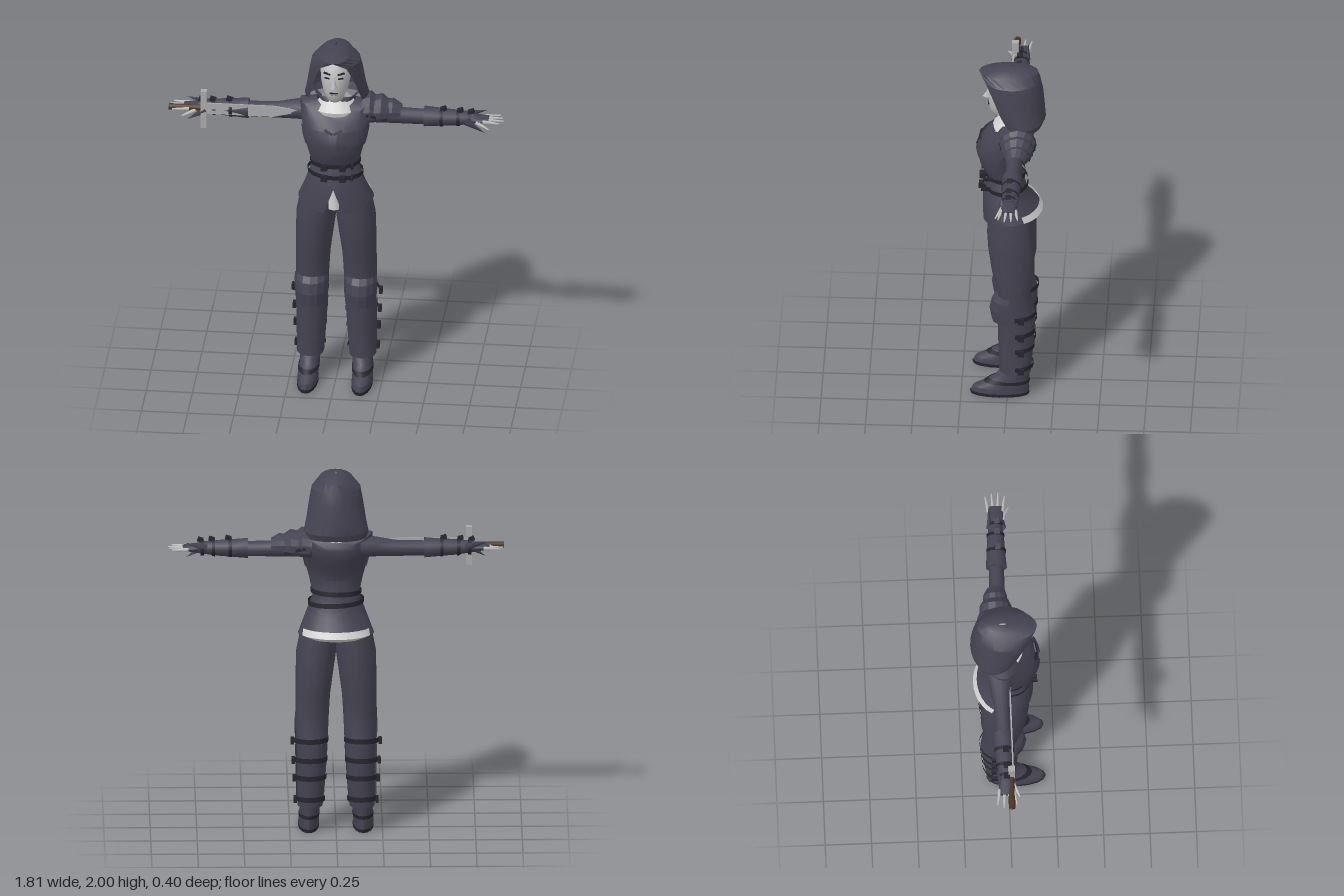
import * as THREE from 'three';
import { toCreasedNormals } from 'three/addons/utils/BufferGeometryUtils.js';

const mat = (name, color) => new THREE.MeshStandardMaterial({ name, color, side: THREE.DoubleSide });

// Skin of elliptical rings. Row: [height, c1, c2, r1, r2, opening].
// axis 'y': c1/r1 run on x, c2/r2 on z; axis 'x': c1/r1 run on z, c2/r2 on y.
function loft(rows, { n = 16, from = 0, to = Math.PI * 2, axis = 'y', cap = false, tweak, crease = 0.6 } = {}) {
  const pos = [], idx = [], w = n + 1;
  const put = (a, h, b) => (axis === 'y' ? pos.push(a, h, b) : pos.push(h, b, a));
  rows.forEach(([h, c1, c2, r1, r2, open], i) => {
    const s = open ?? from, e = open === undefined ? to : Math.PI * 2 - open;
    for (let j = 0; j <= n; j++) {
      const f = s + (e - s) * j / n;
      const a = c1 + r1 * Math.sin(f), b = c2 + r2 * Math.cos(f);
      put(a, tweak ? tweak(h, i, f, a, b) : h, b);
    }
  });
  for (let i = 0; i < rows.length - 1; i++) {
    for (let j = 0; j < n; j++) {
      const k = i * w + j;
      idx.push(k, k + 1, k + w, k + 1, k + w + 1, k + w);
    }
  }
  if (cap) {
    const last = rows.length - 1, c = rows.length * w;
    put(rows[0][1], rows[0][0], rows[0][2]);
    put(rows[last][1], rows[last][0], rows[last][2]);
    for (let j = 0; j < n; j++) idx.push(c, j + 1, j, c + 1, last * w + j, last * w + j + 1);
  }
  const g = new THREE.BufferGeometry();
  g.setAttribute('position', new THREE.Float32BufferAttribute(pos, 3));
  g.setIndex(idx);
  return toCreasedNormals(g, crease);
}

export function createModel() {
  const root = new THREE.Group();
  root.name = 'hoodedFigure';
  const cloth = mat('darkCloth', 0x454352), leather = mat('blackLeather', 0x26252e);
  const skin = mat('paleSkin', 0xbdbdbd), linen = mat('linen', 0xd2d2d0);
  const steel = mat('steel', 0xa9a9a9), wood = mat('wood', 0x4a3422);

  const add = (name, geo, m, p = [0, 0, 0], r = [0, 0, 0], s = [1, 1, 1]) => {
    const mesh = new THREE.Mesh(geo, m);
    mesh.name = name;
    mesh.position.set(...p);
    mesh.rotation.set(...r);
    mesh.scale.set(...s);
    root.add(mesh);
    return mesh;
  };
  const box = (x, y, z) => new THREE.BoxGeometry(x, y, z);

  // Tunic with a split front hem and a scooped neckline
  add('tunic', loft([
    [1.1, 0, -0.015, 0.205, 0.155], [1.2, 0, 0.02, 0.165, 0.12], [1.31, 0, 0.015, 0.125, 0.095],
    [1.4, 0, 0.045, 0.145, 0.11], [1.475, 0, 0.035, 0.165, 0.135], [1.54, 0, 0.01, 0.18, 0.14],
    [1.59, 0, -0.02, 0.197, 0.12], [1.605, 0, -0.03, 0.195, 0.105], [1.63, 0, -0.03, 0.105, 0.09],
  ], {
    n: 24,
    tweak: (h, i, f, x, z) => {
      const s2 = Math.sin(f) ** 2, ax = Math.abs(x);
      if (i === 7) return h + 0.065 * s2;
      if (i === 8) return h + 0.05 * s2;
      if (i > 0) return h;
      if (z < -0.015) return 1.1 + 0.02 * (1 - s2);
      return ax < 0.055 ? 1.2 - ax / 0.055 * 0.15 : 1.045 + (ax - 0.055) / 0.15 * 0.055;
    },
  }), cloth);
  // Bodice flap crossing the chest, two sides
  for (const s of [1, -1]) {
    add('chestFlap', loft([
      [1.45, 0, 0.038, 0.166, 0.132], [1.49, 0, 0.036, 0.176, 0.142], [1.55, 0, 0.008, 0.187, 0.146],
    ], { n: 6, from: s > 0 ? 0.12 : -1.5, to: s > 0 ? 1.5 : -0.12 }), cloth);
    add('chestLace', box(0.05, 0.014, 0.008), leather, [s * 0.025, 1.55, 0.152], [-0.4, 0, s * 0.5]);
  }
  // Linen showing at neck, front slit and back hem
  add('collar', loft([
    [1.58, 0, -0.03, 0.16, 0.1], [1.63, 0, -0.015, 0.125, 0.1], [1.685, 0, -0.03, 0.075, 0.07],
  ]), linen);
  add('shirtTail', loft([[1.07, 0, 0, 0.06, 0.122], [1.2, 0, 0, 0.06, 0.125]], { n: 4, from: -0.5, to: 0.5 }), linen);
  add('backHem', loft([
    [1.085, 0, -0.02, 0.17, 0.14], [1.105, 0, -0.025, 0.2, 0.16], [1.14, 0, -0.015, 0.194, 0.15],
  ], { n: 12, from: Math.PI - 1.15, to: Math.PI + 1.15 }), linen);

  // Belts and buckles
  for (const [y, tilt] of [[1.33, 0.03], [1.27, -0.04]]) {
    const grow = y < 1.3 ? 0.02 : 0.006;
    add('belt', loft([
      [y - 0.013, 0, 0.015, 0.131 + grow, 0.102 + grow], [y + 0.013, 0, 0.018, 0.131 + grow, 0.102 + grow],
    ], { n: 20, tweak: (h, i, f, x) => h + x * tilt }), leather);
    for (const x of [-0.05, 0.05]) add('buckle', box(0.035, 0.03, 0.03), leather, [x, y, 0.13 + grow * 0.7]);
    add('strapEnd', box(0.012, 0.018, 0.05), leather, [0.1, y, 0.1 + grow]);
  }

  // Hood, open at the face
  add('hood', loft([
    [1.655, 0, -0.075, 0.165, 0.11, 1.05], [1.69, 0, -0.07, 0.175, 0.13, 0.95], [1.75, 0, -0.05, 0.162, 0.145, 0.9],
    [1.85, 0, -0.03, 0.145, 0.157, 0.76], [1.92, 0, -0.015, 0.132, 0.158, 0.55],
    [1.965, 0, 0, 0.09, 0.16, 0], [1.99, 0, -0.02, 0.05, 0.095, 0], [2, 0, -0.025, 0.004, 0.02, 0],
  ], { n: 18, crease: 0.5 }), cloth);
  add('hoodCollar', loft([[1.67, 0, -0.035, 0.085, 0.085], [1.7, 0, -0.05, 0.12, 0.075]], { n: 10, from: -1.9, to: 1.9 }), cloth);

  // Head and face
  add('head', loft([
    [1.62, 0, -0.04, 0.05, 0.05], [1.69, 0, -0.025, 0.05, 0.055], [1.7, 0, 0.03, 0.038, 0.055], [1.72, 0, 0.03, 0.05, 0.069],
    [1.76, 0, 0.02, 0.067, 0.088], [1.82, 0, 0.01, 0.08, 0.1], [1.88, 0, 0, 0.083, 0.106],
    [1.93, 0, -0.015, 0.068, 0.085], [1.955, 0, -0.02, 0.03, 0.04],
  ], { n: 20, crease: 1.1 }), skin);
  add('nose', loft([
    [1.792, 0, 0.1, 0.014, 0.02], [1.802, 0, 0.1, 0.018, 0.041], [1.83, 0, 0.1, 0.011, 0.022], [1.865, 0, 0.095, 0.008, 0.012],
  ], { n: 8, cap: true }), skin);
  add('upperLip', box(0.044, 0.007, 0.008), leather, [0, 1.765, 0.108]);
  add('lowerLip', loft([[1.748, 0, 0.095, 0.02, 0.012], [1.757, 0, 0.095, 0.024, 0.02]], { n: 8, cap: true }), skin);
  for (const s of [1, -1]) {
    add('eye', box(0.028, 0.008, 0.006), leather, [s * 0.036, 1.85, 0.098], [0, s * 0.35, 0]);
    add('eyebrow', box(0.04, 0.009, 0.008), leather, [s * 0.038, 1.876, 0.095], [0, s * 0.38, s * 0.12]);
  }

  // Legs, boots and armour
  for (const s of [1, -1]) {
    const side = rows => rows.map(([y, x, ...rest]) => [y, s * x, ...rest]);
    add('trouserLeg', loft(side([
      [0.14, 0.14, -0.045, 0.068, 0.08], [0.3, 0.135, -0.05, 0.075, 0.088], [0.48, 0.13, -0.052, 0.082, 0.098],
      [0.53, 0.13, -0.045, 0.086, 0.1], [0.63, 0.13, -0.035, 0.09, 0.088], [0.76, 0.125, -0.03, 0.093, 0.115],
      [0.9, 0.115, -0.02, 0.102, 0.125], [1, 0.107, -0.015, 0.108, 0.127], [1.13, 0.09, -0.01, 0.1, 0.118],
    ]), { cap: true }), cloth);
    add('shinGuard', loft(side([
      [0.15, 0.142, -0.045, 0.074, 0.09], [0.3, 0.137, -0.045, 0.08, 0.095], [0.48, 0.133, -0.045, 0.088, 0.1],
    ]), { n: 8, from: -1.6, to: 1.6 }), cloth);
    add('kneePad', loft(side([
      [0.465, 0.133, -0.03, 0.085, 0.115], [0.54, 0.133, -0.03, 0.092, 0.128], [0.6, 0.133, -0.03, 0.093, 0.115], [0.63, 0.133, -0.035, 0.09, 0.09],
    ]), { n: 6, from: -1.35, to: 1.35, crease: 0.2 }), cloth);
    add('kneePoint', new THREE.ConeGeometry(0.03, 0.13, 4), cloth, [s * 0.2, 0.56, -0.04], [0, 0, s * -0.15], [0.8, 1, 1.3]);
    for (const y of [0.18, 0.3, 0.4, 0.51]) {
      const k = (y - 0.18) * 0.05;
      add('calfStrap', loft(side([
        [y - 0.014, 0.138, -0.05, 0.08 + k, 0.09 + k], [y + 0.014, 0.138, -0.05, 0.08 + k, 0.09 + k],
      ]), { n: 10, from: 1.5, to: Math.PI * 2 - 1.5, tweak: (h, i, f, x, z) => h - z * 0.08 }), leather);
      add('calfBuckle', box(0.018, 0.034, 0.035), leather, [s * (0.22 + k), y, -0.075]);
    }
    add('bootSole', loft(side([[0, 0.147, 0.042, 0.056, 0.158], [0.018, 0.147, 0.042, 0.057, 0.16]]), { cap: true }), leather);
    add('boot', loft(side([
      [0.016, 0.147, 0.041, 0.056, 0.157], [0.045, 0.147, 0.035, 0.055, 0.152], [0.07, 0.146, 0.01, 0.054, 0.125],
      [0.11, 0.143, -0.025, 0.054, 0.092], [0.16, 0.14, -0.045, 0.06, 0.077],
    ]), { cap: true }), cloth);
    add('bootStrap', loft(side([
      [0.075, 0.146, 0.005, 0.057, 0.124], [0.095, 0.144, -0.01, 0.057, 0.11],
    ])), leather);
  }

  // Arms, bracers and hands
  for (const s of [1, -1]) {
    const arm = (name, rows, m, opts = {}) => {
      const r = rows.map(([x, ...rest]) => [s * x, ...rest]);
      add(name, loft(s > 0 ? r : r.reverse(), { n: 12, axis: 'x', ...opts }), m);
    };
    arm('sleeve', [
      [0.13, -0.045, 1.595, 0.075, 0.065], [0.21, -0.045, 1.59, 0.058, 0.055], [0.32, -0.042, 1.58, 0.042, 0.045], [0.5, -0.04, 1.578, 0.04, 0.042],
    ], cloth);
    arm('bracer', [
      [0.475, -0.04, 1.582, 0.056, 0.056], [0.54, -0.04, 1.582, 0.052, 0.05], [0.65, -0.038, 1.583, 0.045, 0.042], [0.745, -0.036, 1.585, 0.033, 0.03],
    ], cloth, { cap: true });
    for (const x of [0.57, 0.66, 0.72]) {
      const r = 0.053 - (x - 0.57) * 0.06;
      arm('bracerStrap', [[x - 0.009, -0.038, 1.583, r, r], [x + 0.009, -0.038, 1.583, r, r - 0.002]], leather);
      add('bracerBuckle', box(0.03, 0.02, 0.03), leather, [s * (x + 0.01), 1.583 + r, -0.03], [0, 0, s * 0.3]);
    }
    arm('glove', [
      [0.72, -0.036, 1.585, 0.032, 0.028], [0.77, -0.034, 1.583, 0.042, 0.022], [0.825, -0.034, 1.583, 0.04, 0.014],
    ], cloth, { cap: true });
    // Pointed glove flaps, then fingers
    for (const [y, z, tilt] of [[1.55, 0.005, -0.55], [1.605, -0.07, 0.25]]) {
      add('gloveFlap', new THREE.ConeGeometry(0.022, 0.12, 4), cloth, [s * 0.755, y, z], [0, 0, s * (tilt - Math.PI / 2)], [1, 1, 0.7]);
    }
    for (let i = 0; i < 4; i++) {
      const z = -0.068 + i * 0.023, len = [0.09, 0.105, 0.11, 0.09][i];
      add('finger', new THREE.CylinderGeometry(0.004, 0.011, len, 6), skin,
        [s * (0.795 + len / 2), 1.583, z + (i - 1.5) * 0.007], [0, s * (1.5 - i) * 0.11, s * -Math.PI / 2]);
    }
    add('thumb', new THREE.CylinderGeometry(0.004, 0.012, 0.08, 6), skin, [s * 0.795, 1.565, 0.02], [0, s * -0.45, s * -1.85]);
  }

  // Layered pauldron on the left shoulder
  [[0.14, 0.1], [0.2, 0.088], [0.26, 0.066]].forEach(([x, r]) => {
    add('pauldronPlate', loft([
      [x, -0.055, 1.6, r, r * 0.9], [x + 0.045, -0.055, 1.602, r, r], [x + 0.09, -0.05, 1.597, r * 0.72, r * 0.66],
    ], { n: 8, from: -1.8, to: 1.8, axis: 'x', crease: 0.3 }), cloth);
  });
  for (const z of [-0.13, 0.02]) add('pauldronStrap', box(0.12, 0.016, 0.02), leather, [0.22, 1.59, z], [0, z > 0 ? 0.3 : -0.3, -0.3]);

  // Short sword held along the right arm
  const blade = new THREE.Shape([[-0.7, 1.558], [-0.34, 1.558], [-0.17, 1.6], [-0.34, 1.622], [-0.7, 1.622]].map(p => new THREE.Vector2(...p)));
  add('blade', new THREE.ExtrudeGeometry(blade, { depth: 0.008, bevelEnabled: false }), steel, [0, 0, 0.001]);
  add('crossGuard', box(0.032, 0.215, 0.036), steel, [-0.715, 1.583, -0.004]);
  add('grip', new THREE.CylinderGeometry(0.018, 0.018, 0.175, 8), wood, [-0.817, 1.585, -0.008], [0, 0, Math.PI / 2]);
  return root;
}
